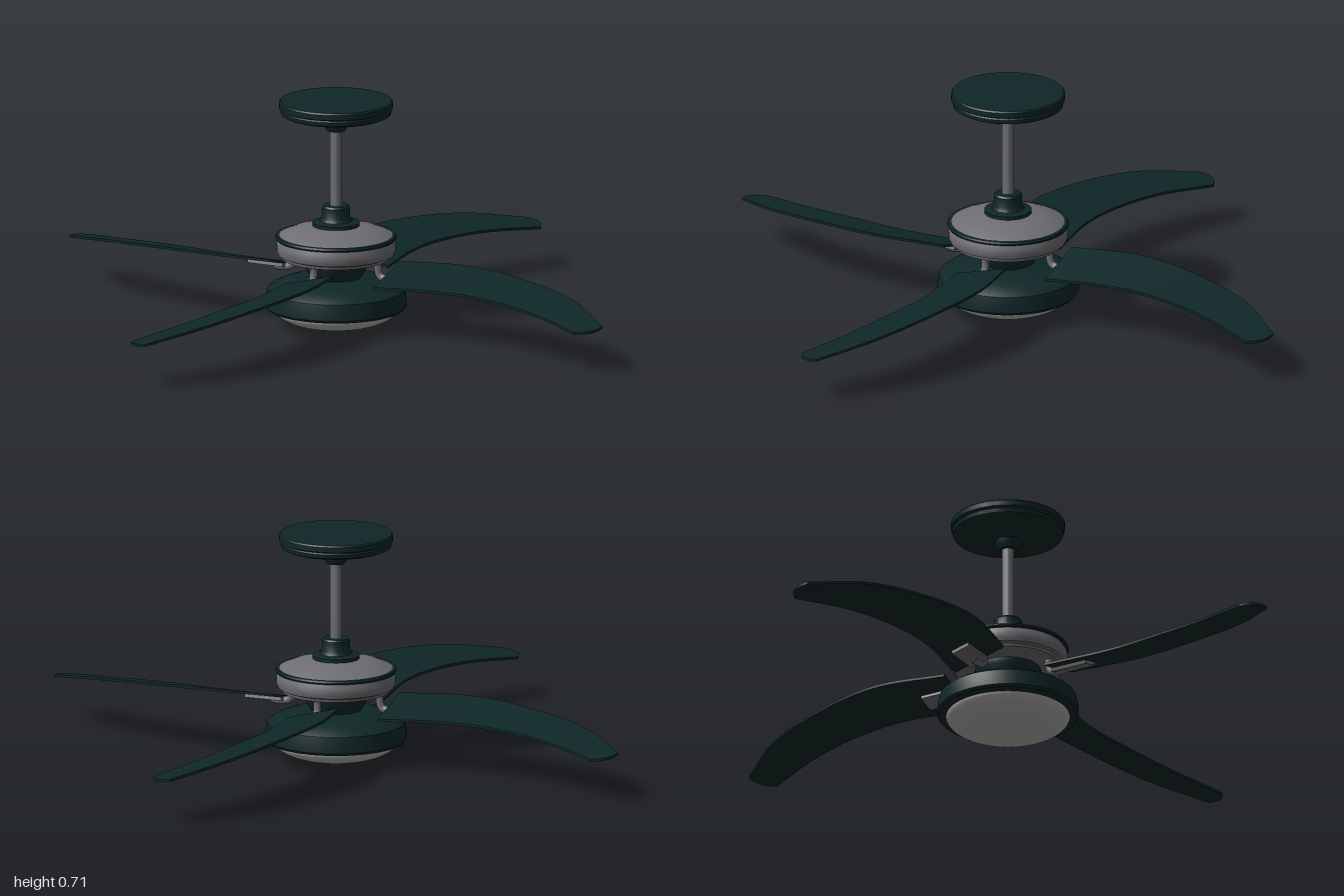
import * as THREE from 'three';
import { toCreasedNormals } from 'three/addons/utils/BufferGeometryUtils.js';

const mat = (name, color) => {
  const m = new THREE.MeshStandardMaterial({ color });
  m.name = name;
  return m;
};

export function createModel() {
  const fan = new THREE.Group();
  fan.name = 'ceilingFan';
  const green = mat('darkGreen', 0x0f2727);
  const metal = mat('greyMetal', 0x6e6e73);
  const glass = mat('frostedGlass', 0xb2b2ae);

  const add = (parent, name, geometry, material) => {
    const mesh = new THREE.Mesh(geometry, material);
    mesh.name = name;
    parent.add(mesh);
    return mesh;
  };
  // Turned part: [radius, height] pairs from bottom to top
  const turned = (name, profile, material) => {
    const points = profile.map(([r, y]) => new THREE.Vector2(r, y));
    return add(fan, name, toCreasedNormals(new THREE.LatheGeometry(points, 48), 0.6), material);
  };

  // Ceiling mount and down rod
  turned('canopy', [[0, 0.615], [0.028, 0.615], [0.038, 0.63], [0.04, 0.643], [0.06, 0.647], [0.155, 0.662],
    [0.168, 0.668], [0.17, 0.68], [0.166, 0.684], [0.174, 0.688], [0.174, 0.704], [0.17, 0.709], [0, 0.709]], green);
  turned('downRod', [[0.019, 0.32], [0.019, 0.64]], metal);
  turned('rodCollar', [[0, 0.315], [0.072, 0.315], [0.072, 0.328], [0.05, 0.333], [0.043, 0.345],
    [0.043, 0.375], [0.038, 0.381], [0, 0.381]], green);

  // Motor housing with a dark seam ring
  turned('motorHousing', [[0, 0.212], [0.15, 0.212], [0.166, 0.217], [0.168, 0.226], [0.178, 0.23], [0.182, 0.24],
    [0.182, 0.264], [0.176, 0.274], [0.174, 0.287], [0.165, 0.292], [0.13, 0.306], [0.09, 0.317], [0, 0.32]], metal);
  turned('seamRing', [[0.17, 0.276], [0.183, 0.276], [0.185, 0.281], [0.182, 0.287], [0.17, 0.288]], green);

  // Light kit below the motor
  turned('lightNeck', [[0.07, 0.14], [0.082, 0.165], [0.1, 0.195], [0.1, 0.212], [0, 0.212]], green);
  turned('lightHousing', [[0, 0.055], [0.185, 0.055], [0.21, 0.06], [0.216, 0.068], [0.215, 0.09], [0.21, 0.118],
    [0.195, 0.129], [0.17, 0.14], [0.135, 0.152], [0.08, 0.158], [0, 0.158]], green);
  const dome = [];
  for (let i = 0; i <= 14; i++) {
    const a = (i / 14) * Math.PI / 2;
    dome.push([0.19 * Math.sin(a), 0.06 * (1 - Math.cos(a))]);
  }
  turned('glassDome', dome, glass);

  // Blade: a slab stretched between its two curved edges, pitched and drooping
  const curve = (pts) => new THREE.CatmullRomCurve3(pts.map((p) => new THREE.Vector3(...p)));
  const highEdge = curve([[0.175, 0.203, -0.086], [0.4, 0.208, -0.112], [0.62, 0.197, -0.07],
    [0.83, 0.174, 0.01], [0.99, 0.139, 0.13]]);
  const lowEdge = curve([[0.175, 0.157, 0.086], [0.4, 0.164, 0.064], [0.57, 0.163, 0.085],
    [0.75, 0.151, 0.13], [0.935, 0.129, 0.206]]);
  const slab = new THREE.BoxGeometry(1, 1, 1, 30, 1, 8);
  const pos = slab.attributes.position;
  for (let i = 0; i < pos.count; i++) {
    const u = pos.getX(i) + 0.5;
    const v = pos.getZ(i) + 0.5;
    const p = highEdge.getPoint(u).lerp(lowEdge.getPoint(u), v);
    const bulge = 0.02 * Math.pow(u, 10) * 4 * v * (1 - v); // rounded tip
    pos.setXYZ(i, p.x + 0.8 * bulge, p.y + pos.getY(i) * 0.008, p.z + 0.6 * bulge);
  }
  const bladeGeometry = toCreasedNormals(slab, 0.6);

  // Bracket: bent arm under the motor and a flat plate under the blade
  const armGeometry = new THREE.TubeGeometry(curve([[0.145, 0.225, 0], [0.145, 0.195, 0], [0.152, 0.175, 0],
    [0.175, 0.168, 0], [0.21, 0.168, 0]]), 20, 0.012, 10);
  const plateGeometry = new THREE.BoxGeometry(0.12, 0.012, 0.06);

  for (let i = 0; i < 4; i++) {
    const unit = new THREE.Group();
    unit.name = 'bladeUnit';
    unit.rotation.y = i * Math.PI / 2;
    add(unit, 'blade', bladeGeometry, green);
    add(unit, 'bracketArm', armGeometry, metal);
    const plate = add(unit, 'bracketPlate', plateGeometry, metal);
    plate.position.set(0.23, 0.171, 0);
    plate.rotation.x = 0.27;
    fan.add(unit);
  }
  return fan;
}
